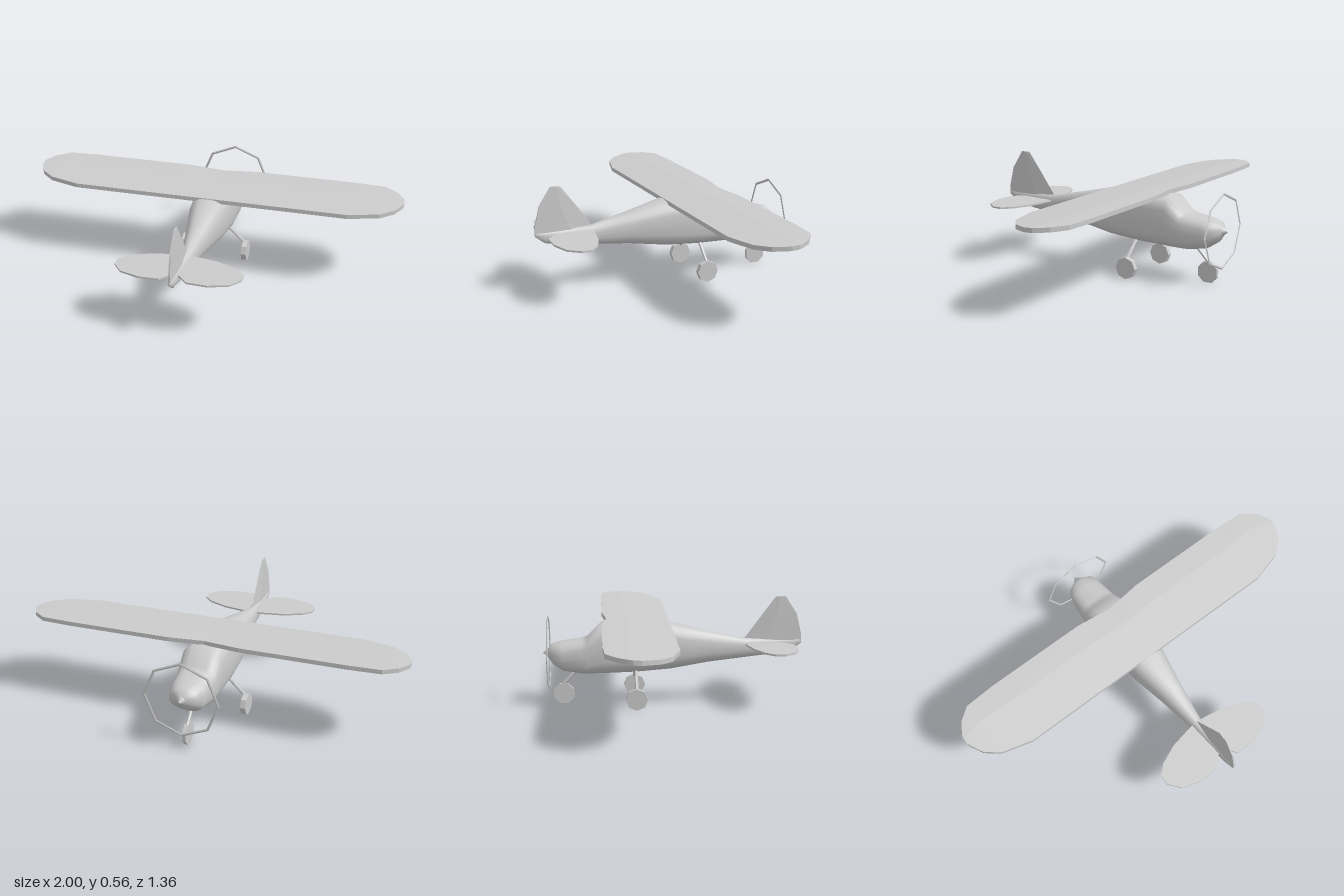
import * as THREE from 'three';

const smooth = new THREE.MeshStandardMaterial({ color: 0xcccccc, side: THREE.DoubleSide });
const flat = new THREE.MeshStandardMaterial({ color: 0xcccccc, flatShading: true, side: THREE.DoubleSide });

function add(parent, name, geometry, material = flat) {
  const mesh = new THREE.Mesh(geometry, material);
  mesh.name = name;
  parent.add(mesh);
  return mesh;
}

// Skin a list of equal-sized rings of [x, y, z] points and cap both ends
function loft(rings) {
  const n = rings[0].length, last = (rings.length - 1) * n, index = [];
  for (let i = 0; i < rings.length - 1; i++) {
    for (let j = 0; j < n; j++) {
      const a = i * n + j, b = i * n + (j + 1) % n;
      index.push(a, b, a + n, b, b + n, a + n);
    }
  }
  for (let j = 1; j < n - 1; j++) {
    index.push(0, j + 1, j, last, last + j, last + j + 1);
  }
  const g = new THREE.BufferGeometry();
  g.setAttribute('position', new THREE.Float32BufferAttribute(rings.flat(2), 3));
  g.setIndex(index);
  g.computeVertexNormals();
  return g;
}

// Rounded-box fuselage section
function section([z, y0, y1, halfWidth, power]) {
  const round = (v) => Math.sign(v) * Math.abs(v) ** (2 / power);
  return Array.from({ length: 20 }, (_, i) => {
    const a = i / 20 * Math.PI * 2;
    return [halfWidth * round(Math.cos(a)), (y0 + y1) / 2 + (y1 - y0) / 2 * round(Math.sin(a)), z];
  });
}

// Mirrored flying surface from stations [x, leading z, trailing z]
function surface(stations, bottom, thick, camber) {
  const mirrored = stations.slice(1).reverse().map(([x, a, b]) => [-x, a, b]);
  return loft([...mirrored, ...stations].map(([x, a, b]) => {
    const m = a + (b - a) * 0.35;
    return [
      [x, bottom(a), a], [x, bottom(a) + thick, a],
      [x, bottom(m) + thick + camber * (b - a), m],
      [x, bottom(b) + thick, b], [x, bottom(b), b],
    ];
  }));
}

// Straight rod between two points
function rod(from, to, radius) {
  const a = new THREE.Vector3(...from), b = new THREE.Vector3(...to);
  const dir = b.clone().sub(a);
  const g = new THREE.CylinderGeometry(radius, radius, dir.length(), 6);
  g.applyQuaternion(new THREE.Quaternion().setFromUnitVectors(new THREE.Vector3(0, 1, 0), dir.normalize()));
  const mid = a.add(b).multiplyScalar(0.5);
  return g.translate(mid.x, mid.y, mid.z);
}

function wheel(x, z, width) {
  return new THREE.CylinderGeometry(0.057, 0.057, width, 8).rotateZ(Math.PI / 2).translate(x, 0.057, z);
}

export function createModel() {
  const plane = new THREE.Group();
  plane.name = 'airplane';

  // Fuselage from nose to tail: z, bottom, top, half width, squareness
  add(plane, 'fuselage', loft([
    [-0.658, 0.25, 0.298, 0.022, 2],
    [-0.63, 0.215, 0.325, 0.073, 2.2],
    [-0.58, 0.182, 0.335, 0.092, 2.6],
    [-0.48, 0.167, 0.349, 0.102, 3],
    [-0.45, 0.167, 0.358, 0.105, 3],
    [-0.375, 0.168, 0.432, 0.111, 3.2],
    [-0.2, 0.173, 0.436, 0.111, 3.2],
    [-0.02, 0.184, 0.43, 0.099, 2.8],
    [0.18, 0.214, 0.382, 0.063, 2.4],
    [0.38, 0.235, 0.338, 0.032, 2.1],
    [0.55, 0.254, 0.332, 0.018, 2],
    [0.63, 0.27, 0.33, 0.012, 2],
    [0.68, 0.308, 0.33, 0.007, 2],
  ].map(section)), smooth);

  // Spinner and eight-sided propeller ring
  const spinner = add(plane, 'spinner', new THREE.ConeGeometry(0.025, 0.028, 8), smooth);
  spinner.rotation.x = -Math.PI / 2;
  spinner.position.set(0, 0.275, -0.67);
  const ring = add(plane, 'propellerRing', new THREE.TorusGeometry(0.19, 0.007, 4, 8));
  ring.scale.z = 0.5;
  ring.position.set(0, 0.275, -0.655);

  // High wing, slightly nose-up
  add(plane, 'wing', surface([
    [0, -0.352, -0.022], [0.19, -0.375, -0.022], [0.73, -0.375, -0.022], [0.89, -0.366, -0.066],
    [0.96, -0.315, -0.122], [0.99, -0.265, -0.18], [1, -0.245, -0.205],
  ], (z) => 0.411 - 0.057 * (z + 0.022), 0.022, 0.016));

  // Tailplane
  add(plane, 'tailplane', surface([
    [0, 0.375, 0.575], [0.02, 0.378, 0.582], [0.068, 0.385, 0.632], [0.17, 0.404, 0.636],
    [0.27, 0.447, 0.605], [0.318, 0.494, 0.545],
  ], () => 0.304, 0.009, 0));

  // Fin and rudder: y, leading z, trailing z, half thickness
  add(plane, 'fin', loft([
    [0.315, 0.363, 0.68, 0.011], [0.36, 0.394, 0.68, 0.009],
    [0.465, 0.472, 0.655, 0.006], [0.555, 0.54, 0.597, 0.003], [0.56, 0.55, 0.594, 0.002],
  ].map(([y, a, b, t]) => {
    const m = a + (b - a) * 0.4;
    return [[0, y, a], [-t, y, m], [-t * 0.5, y, b], [t * 0.5, y, b], [t, y, m]]
      .map(([x, h, z]) => [x, h, z]);
  })));

  // Main gear, one leg and wheel each side
  for (const [side, label] of [[1, 'left'], [-1, 'right']]) {
    add(plane, label + 'GearLeg', rod([side * 0.08, 0.185, -0.2], [side * 0.17, 0.1, -0.2], 0.009));
    add(plane, label + 'Wheel', wheel(side * 0.17, -0.2, 0.028));
  }

  // Nose gear
  add(plane, 'noseGearLeg', rod([0, 0.19, -0.5], [0, 0.09, -0.595], 0.009));
  add(plane, 'noseWheel', wheel(0, -0.578, 0.018).translate(0, -0.057, 0.578)
    .rotateX(Math.PI / 8).translate(0, 0.055, -0.578));

  return plane;
}
